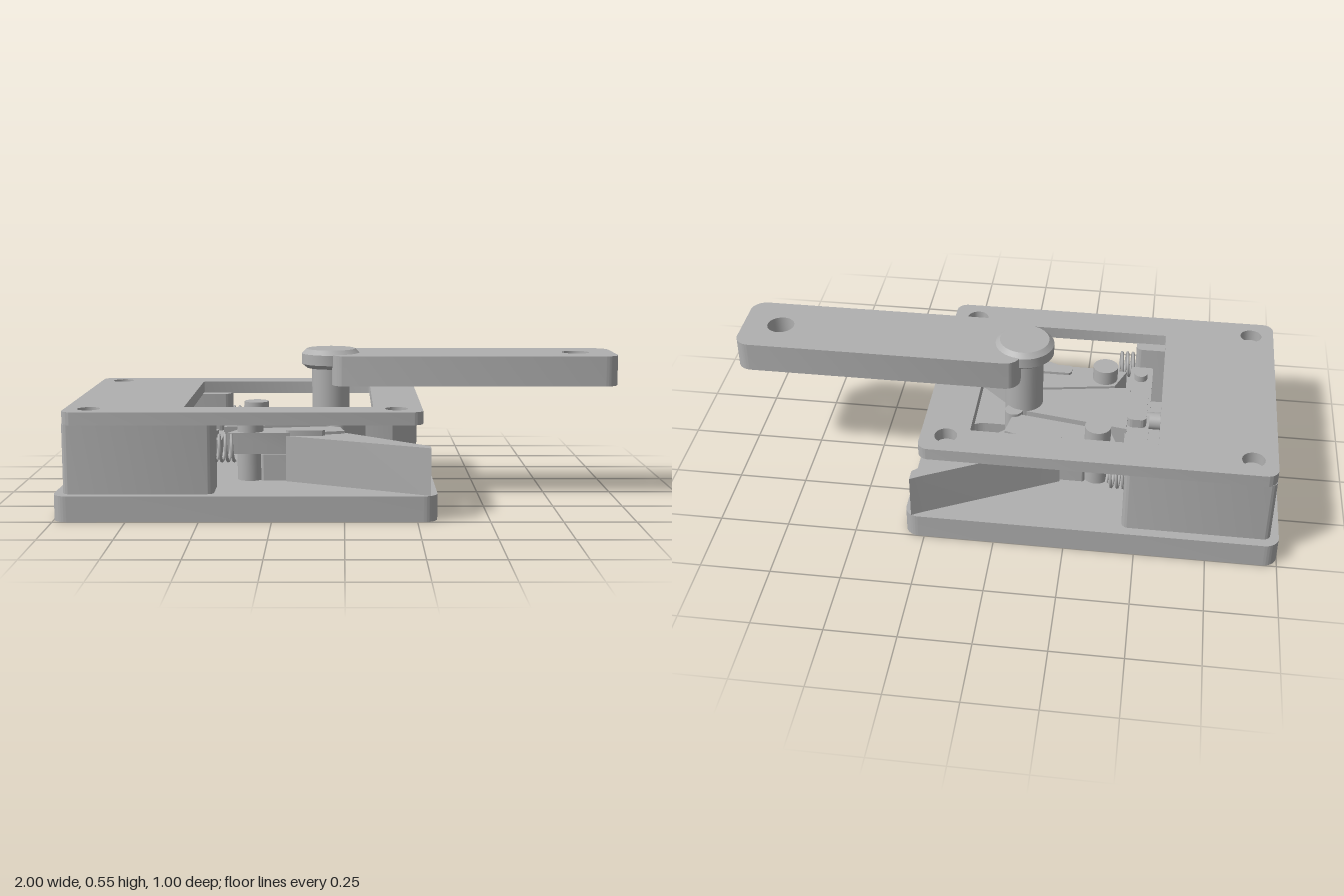
import * as THREE from 'three';
import { toCreasedNormals } from 'three/addons/utils/BufferGeometryUtils.js';

export function createModel() {
  const model = new THREE.Group();
  model.name = 'leverMechanism';
  const steel = new THREE.MeshStandardMaterial({ color: 0xb0b0b0 });
  steel.name = 'steel grey';

  function add(name, geometry, x = 0, y = 0, z = 0) {
    const mesh = new THREE.Mesh(geometry, steel);
    mesh.name = name;
    mesh.position.set(x, y, z);
    model.add(mesh);
    return mesh;
  }

  // Rounded rectangle in plan
  function rounded(x0, x1, z0, z1, r, Type = THREE.Shape) {
    const s = new Type();
    s.moveTo(x0 + r, z0);
    s.lineTo(x1 - r, z0);
    s.absarc(x1 - r, z0 + r, r, -Math.PI / 2, 0);
    s.absarc(x1 - r, z1 - r, r, 0, Math.PI / 2);
    s.absarc(x0 + r, z1 - r, r, Math.PI / 2, Math.PI);
    s.absarc(x0 + r, z0 + r, r, Math.PI, Math.PI * 1.5);
    return s;
  }
  const circle = (x, z, r) => new THREE.Path().absarc(x, z, r, 0, Math.PI * 2);
  // Polygon from x, z pairs
  const polygon = (pts) => new THREE.Shape(pts.map(([x, z]) => new THREE.Vector2(x, -z)));

  // Raise a plan shape from y0 to y1
  function slab(name, shape, y0, y1) {
    const g = new THREE.ExtrudeGeometry(shape, { depth: y1 - y0, bevelEnabled: false, curveSegments: 12 });
    g.rotateX(-Math.PI / 2);
    return add(name, toCreasedNormals(g, 0.6), 0, y0, 0);
  }
  const post = (name, x, z, r, y0, y1) =>
    add(name, new THREE.CylinderGeometry(r, r, y1 - y0, 32), x, (y0 + y1) / 2, z);

  const screwHoles = () => [-0.885, 0.18].flatMap((x) => [-0.385, 0.385].map((z) => circle(x, z, 0.04)));

  // Base with screw holes and a guide slot for the shaft
  const base = rounded(-1, 0.32, -0.5, 0.5, 0.05);
  base.holes.push(...screwHoles(), rounded(-0.13, 0.18, -0.075, 0.075, 0.07, THREE.Path));
  slab('base', base, 0, 0.09);

  // Cover frame with the window
  const cover = rounded(-0.97, 0.27, -0.47, 0.47, 0.04);
  cover.holes.push(...screwHoles(), rounded(-0.56, 0.1, -0.345, 0.345, 0.004, THREE.Path));
  slab('coverPlate', cover, 0.33, 0.375);

  // Rotating shaft, cap and handle
  post('shaft', -0.05, 0, 0.07, 0, 0.5);
  const cap = [[0, 0.475], [0.09, 0.475], [0.108, 0.49], [0.108, 0.528], [0.09, 0.545], [0, 0.545]];
  add('shaftCap', toCreasedNormals(
    new THREE.LatheGeometry(cap.map(([r, y]) => new THREE.Vector2(r, y)), 40), 0.5), -0.05);
  const handle = rounded(-0.045, 1, -0.145, 0.145, 0.055);
  handle.holes.push(circle(0.86, 0, 0.05));
  slab('handle', handle, 0.42, 0.53);

  // Tapered slider between the rear bar and the shaft
  slab('slider', polygon([[-0.44, 0.13], [-0.05, 0.065], [-0.05, -0.065], [-0.44, -0.13]]), 0.19, 0.27);
  slab('lowerSlider', rounded(-0.3, 0.0, -0.23, 0.23, 0.01), 0.09, 0.185);

  // Rear bar with its stop and push rod
  slab('rearBar', rounded(-0.52, -0.435, -0.3, 0.3, 0.01), 0.18, 0.25);
  slab('rearStop', rounded(-0.51, -0.44, -0.09, 0.09, 0.02), 0.25, 0.285);
  const rod = post('pushRod', -0.535, 0, 0.032, 0, 0.07);
  rod.rotation.z = Math.PI / 2;
  rod.position.y = 0.22;

  // Spring coil running along x
  const coil = [];
  const turns = 3.5;
  for (let i = 0; i <= 84; i++) {
    const a = (i / 84) * turns * Math.PI * 2;
    coil.push(new THREE.Vector3(-0.46 + 0.075 * i / 84, 0.23 + 0.045 * Math.cos(a), 0.045 * Math.sin(a)));
  }
  const spring = new THREE.TubeGeometry(new THREE.CatmullRomCurve3(coil), 120, 0.006, 6);

  for (const s of [-1, 1]) {
    const side = s > 0 ? 'right' : 'left';
    const mirror = (pts) => polygon(pts.map(([x, z]) => [x, z * s]));

    // Housing block
    slab(side + 'Housing', rounded(-0.97, -0.45, Math.min(0.3 * s, 0.465 * s),
      Math.max(0.3 * s, 0.465 * s), 0.025), 0.09, 0.332);

    // Jaw flaring out to the corner of the base
    slab(side + 'Jaw', mirror([[-0.21, 0.24], [-0.15, 0.17], [0.0, 0.17], [0.295, 0.45], [0.295, 0.495], [0.25, 0.47]]),
      0.09, 0.255);
    // Link from the pivot to the jaw
    slab(side + 'Link', mirror([[-0.42, 0.24], [-0.38, 0.14], [-0.02, 0.08], [0.0, 0.19], [-0.16, 0.24]]), 0.19, 0.265);
    post(side + 'Pivot', -0.34, 0.19 * s, 0.047, 0.09, 0.32);
    post(side + 'BarPin', -0.475, 0.225 * s, 0.025, 0.18, 0.275);
    slab(side + 'JawKey', rounded(-0.21, -0.07, 0.215 * s - 0.025, 0.215 * s + 0.025, 0.015), 0.255, 0.275);
    post(side + 'Roller', -0.02, 0.07 * s, 0.033, 0.185, 0.275);
    add(side + 'Spring', spring, 0, 0, 0.345 * s);
  }

  // Stop block beside one jaw
  slab('stopBlock', rounded(0.04, 0.2, 0.25, 0.335, 0.012), 0.11, 0.275);

  return model;
}
